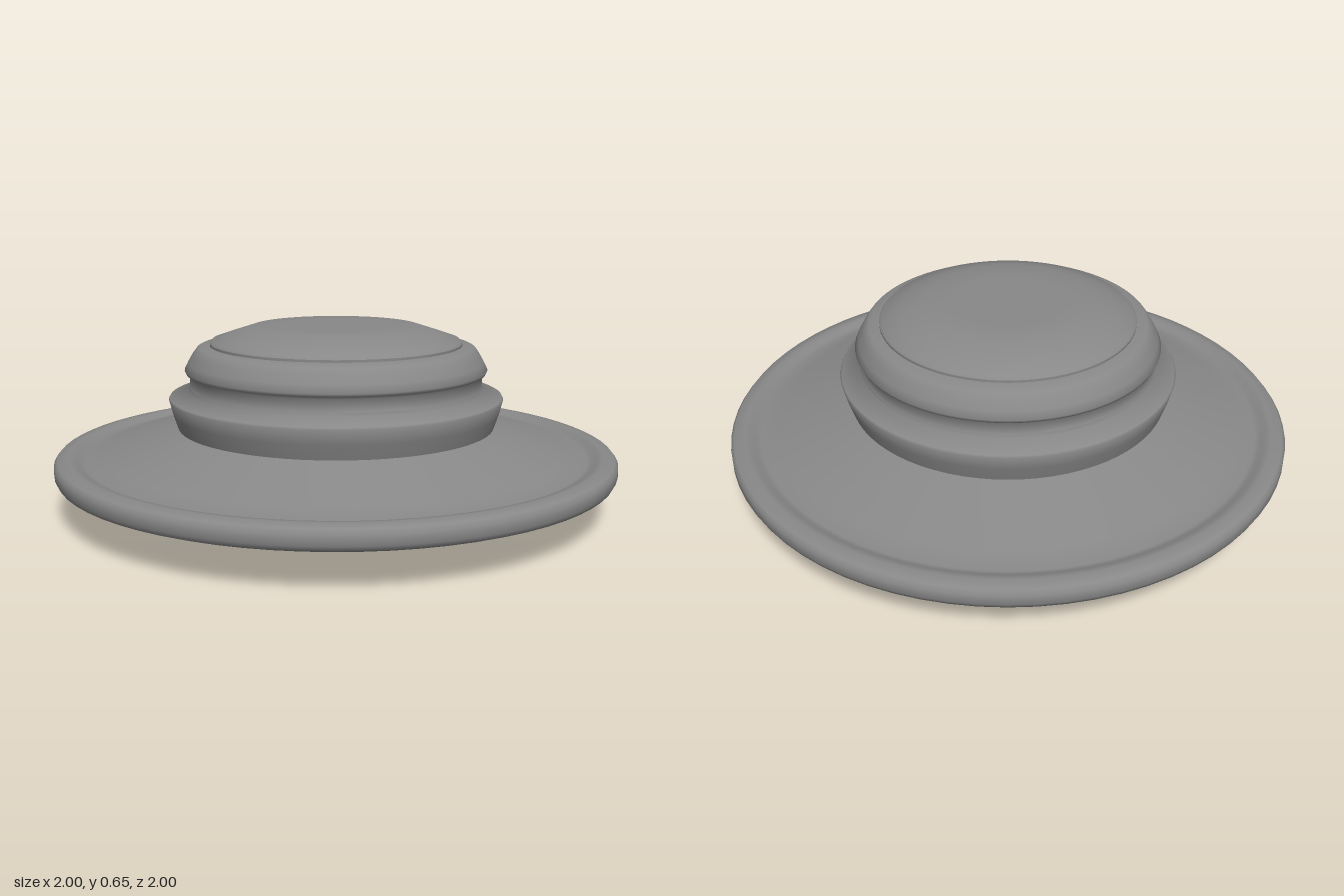
import * as THREE from 'three';
import { toCreasedNormals } from 'three/addons/utils/BufferGeometryUtils.js';

const SEGMENTS = 72;
const material = new THREE.MeshStandardMaterial({ color: 0x888888, side: THREE.DoubleSide });

// Revolves a [radius, height] profile, listed from the underside outwards and up
function turned(name, profile, crease = 1.7) {
  const points = profile.map(([r, y]) => new THREE.Vector2(r, y));
  const geometry = toCreasedNormals(new THREE.LatheGeometry(points, SEGMENTS), crease);
  const mesh = new THREE.Mesh(geometry, material);
  mesh.name = name;
  return mesh;
}

// Disc on the underside: flat from the inner radius, softly rounded up into its rim
function step(name, inner, r, y, top) {
  return turned(name, [
    [inner, y], [(inner + r) / 2, y], [r - 0.09, y], [r - 0.016, y],
    [r - 0.002, y + 0.01], [r, top],
  ]);
}

export function createModel() {
  const group = new THREE.Group();

  group.add(
    // Small boss under the middle
    turned('bottomBoss', [
      [0, 0], [0.065, 0.003], [0.14, 0.022], [0.172, 0.048], [0.195, 0.072], [0.2, 0.09],
    ]),
    // Stepped underside
    step('innerStep', 0.15, 0.445, 0.07, 0.095),
    turned('middleStep', [
      [0.43, 0.088], [0.52, 0.082], [0.62, 0.073], [0.688, 0.068], [0.703, 0.078], [0.705, 0.105],
    ]),
    step('outerStep', 0.66, 0.885, 0.097, 0.14),
    // Wide brim with a rolled edge and a sloping top
    turned('brim', [
      [0.86, 0.13], [0.91, 0.13], [0.97, 0.13], [0.992, 0.139], [1, 0.155],
      [1, 0.188], [0.988, 0.203], [0.95, 0.21], [0.928, 0.207], [0.912, 0.195],
      [0.895, 0.193], [0.83, 0.212], [0.7, 0.25], [0.565, 0.291],
    ]),
    // Flared collar blending into the grooved neck
    turned('collar', [
      [0.567, 0.287], [0.585, 0.342], [0.598, 0.393], [0.594, 0.4], [0.522, 0.418],
      [0.526, 0.43], [0.522, 0.434], [0.522, 0.475], [0.53, 0.485],
    ]),
    // Sloping upper band
    turned('upperBand', [
      [0.518, 0.482], [0.535, 0.484], [0.54, 0.495], [0.527, 0.522], [0.511, 0.55],
      [0.496, 0.57], [0.486, 0.575], [0.447, 0.58],
    ]),
    // Bevelled cap
    turned('cap', [
      [0.45, 0.574], [0.45, 0.588], [0.442, 0.597], [0.38, 0.618],
      [0.3, 0.644], [0.2, 0.646], [0, 0.647],
    ], 0.6),
  );

  return group;
}
